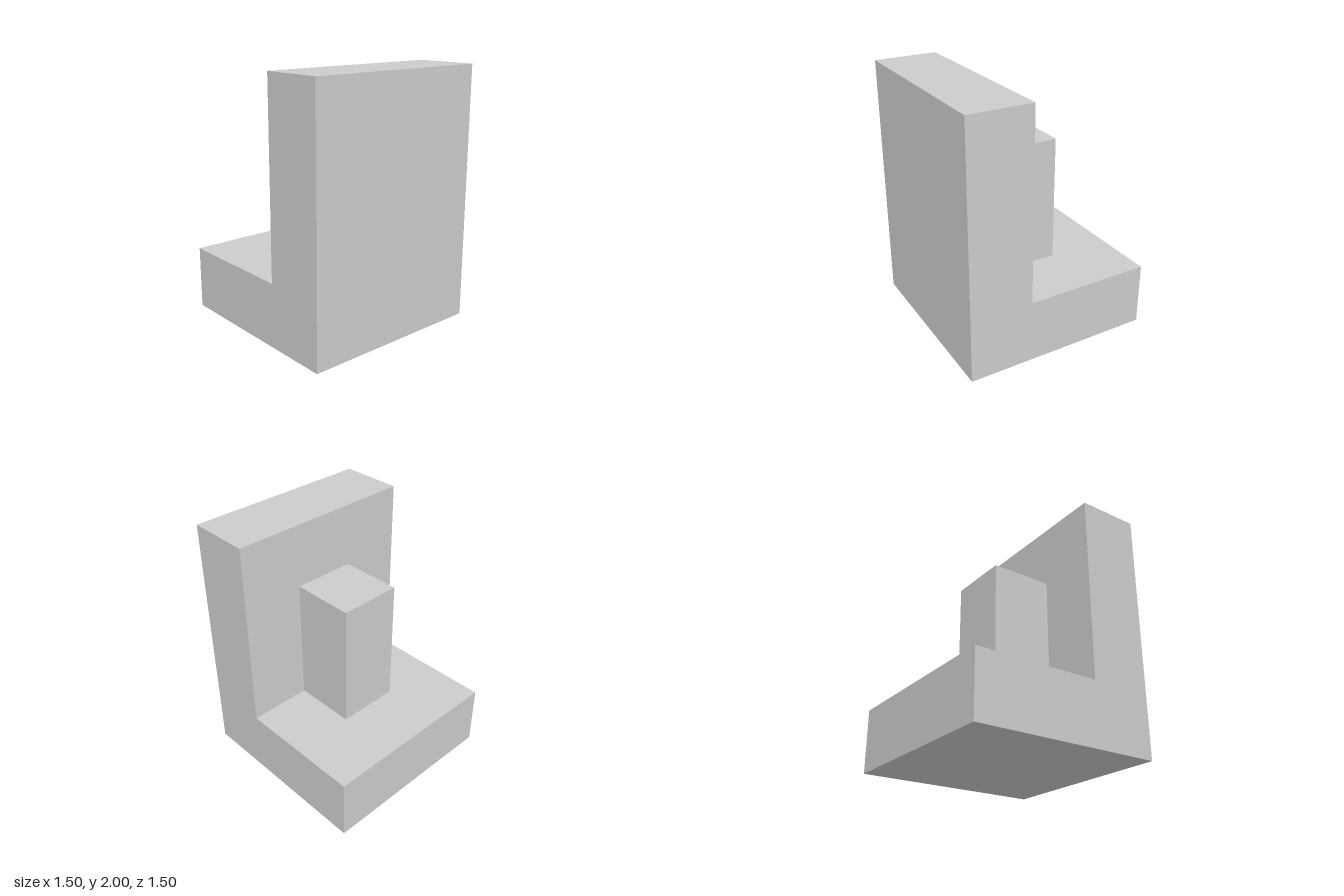
import * as THREE from 'three';

const WIDTH = 1.5;

export function createModel() {
  const group = new THREE.Group();
  group.name = 'steppedBlock';
  const material = new THREE.MeshStandardMaterial({ color: 0xcccccc, flatShading: true });

  // L-shaped body: low base with a tall wall at the front, extruded across the width
  const profile = new THREE.Shape([
    [-0.75, 0], [0.75, 0], [0.75, 0.5], [-0.25, 0.5], [-0.25, 2], [-0.75, 2],
  ].map(([x, y]) => new THREE.Vector2(x, y)));
  const bodyGeometry = new THREE.ExtrudeGeometry(profile, { depth: WIDTH, bevelEnabled: false });
  bodyGeometry.translate(0, 0, -WIDTH / 2).rotateY(Math.PI / 2);
  const body = new THREE.Mesh(bodyGeometry, material);
  body.name = 'baseAndWall';
  group.add(body);

  // Upright block standing on the base, against the wall
  const block = new THREE.Mesh(new THREE.BoxGeometry(0.5, 1, 0.5), material);
  block.name = 'uprightBlock';
  block.position.set(0, 1, 0);
  group.add(block);

  return group;
}
